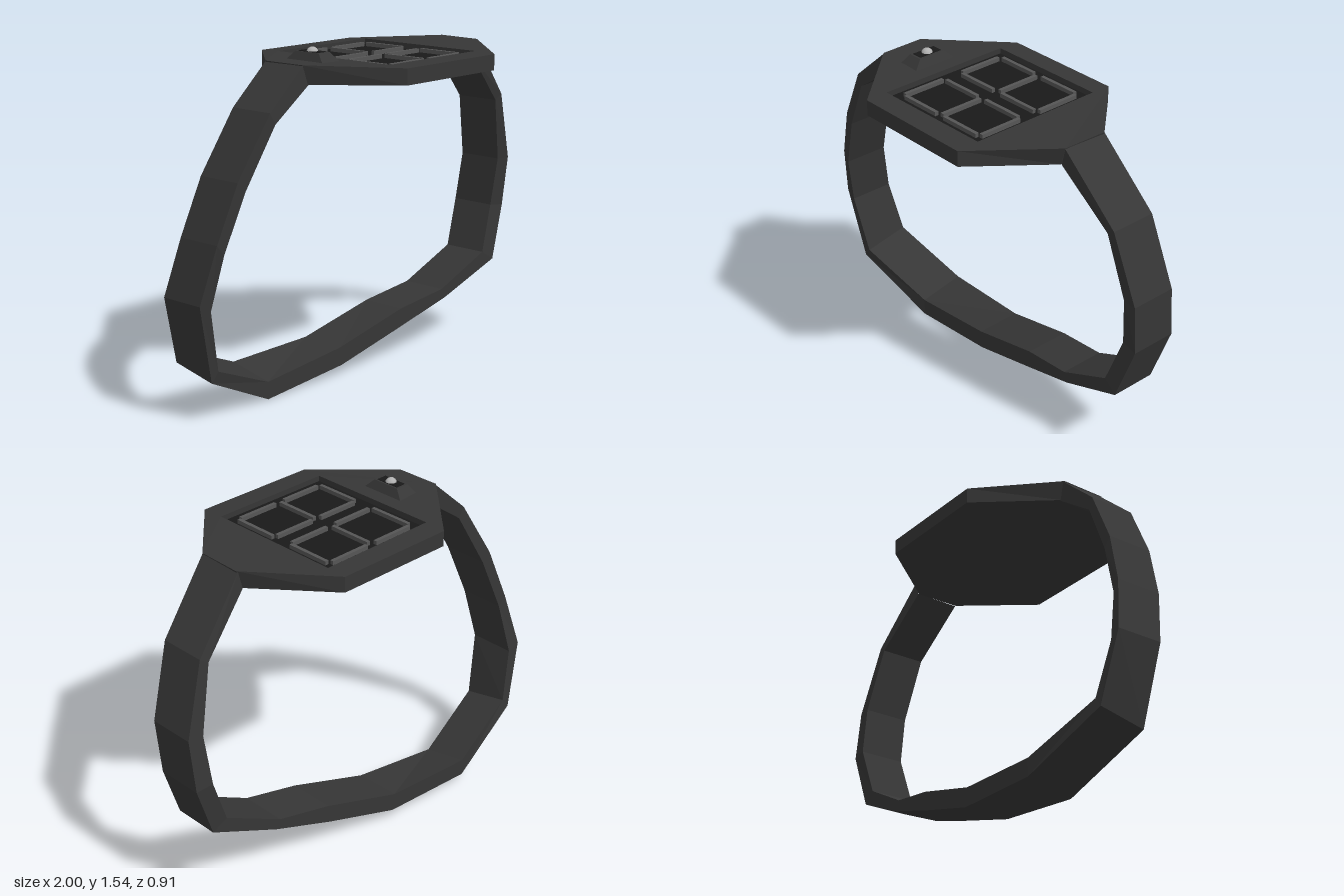
import * as THREE from 'three';

const mat = (color, flatShading = true) => new THREE.MeshStandardMaterial({ color, flatShading });
const body = mat(0x363636), dark = mat(0x191919), barMat = mat(0x555555), metal = mat(0xb0b0b0, false);

const TILT = 0.13; // the plate is turned slightly about y

function add(parent, name, geometry, material, x = 0, y = 0, z = 0) {
  const mesh = new THREE.Mesh(geometry, material);
  mesh.name = name;
  mesh.position.set(x, y, z);
  parent.add(mesh);
  return mesh;
}

// Strap stations on the near edge: outer x, y, inner x, y, near z, rise of the far edge
const STRAP = [
  [-0.48, 1.49, -0.45, 1.41, 0.17, 0],
  [-0.67, 1.32, -0.645, 1.27, 0.195, 0],
  [-0.825, 1.05, -0.785, 1.01, 0.175, 0],
  [-0.915, 0.80, -0.88, 0.755, 0.15, 0],
  [-0.975, 0.545, -0.92, 0.515, 0.105, 0],
  [-0.895, 0.19, -0.86, 0.235, 0.065, 0.045],
  [-0.52, 0.005, -0.52, 0.085, -0.04, 0.045],
  [-0.07, 0.055, -0.08, 0.14, -0.075, 0.005],
  [0.29, 0.16, 0.30, 0.25, -0.08, 0],
  [0.58, 0.25, 0.56, 0.295, -0.08, 0],
  [0.905, 0.385, 0.835, 0.43, -0.085, 0],
  [0.99, 0.64, 0.91, 0.65, -0.11, 0],
  [1.0, 0.88, 0.93, 0.88, -0.085, 0],
  [0.90, 1.205, 0.86, 1.18, -0.04, 0],
  [0.66, 1.49, 0.64, 1.41, 0.03, 0],
];

// Rectangular section swept through the stations
function strapGeometry() {
  const pos = [], index = [], W = 0.215, DX = -0.027;
  STRAP.forEach(([ox, oy, ix, iy, z, r], i) => {
    pos.push(ox, oy, z, ox + DX, oy + r, z - W, ix + DX, iy + r, z - W, ix, iy, z);
    if (i === 0) return;
    for (let k = 0; k < 4; k++) {
      const n = (k + 1) % 4, a = (i - 1) * 4, b = i * 4;
      index.push(a + k, a + n, b + k, a + n, b + n, b + k);
    }
  });
  const g = new THREE.BufferGeometry();
  g.setAttribute('position', new THREE.Float32BufferAttribute(pos, 3));
  g.setIndex(index);
  g.computeVertexNormals();
  return g;
}

// Eight-sided plate with a window; its top falls gently towards front and back
function plateGeometry(w, d) {
  const outline = [[-0.26, -0.39], [0.31, -0.46], [0.64, -0.18], [0.66, 0.03],
    [0.42, 0.38], [-0.155, 0.45], [-0.48, 0.17], [-0.51, -0.04]];
  const shape = new THREE.Shape(outline.map(([x, z]) => new THREE.Vector2(x, z)));
  const c = Math.cos(TILT), s = Math.sin(TILT);
  const corners = [[-1, -1], [-1, 1], [1, 1], [1, -1]].map(([a, b]) => {
    const u = a * w / 2, v = b * d / 2;
    return new THREE.Vector2(0.08 + u * c + v * s, -0.008 - u * s + v * c);
  });
  shape.holes.push(new THREE.Path(corners));
  const g = new THREE.ExtrudeGeometry(shape, { depth: 1, bevelEnabled: false });
  g.rotateX(Math.PI / 2);
  const p = g.attributes.position;
  for (let i = 0; i < p.count; i++) {
    const x = p.getX(i), z = p.getZ(i), v = Math.abs(x * s + z * c);
    if (p.getY(i) > -0.5) p.setY(i, 1.498 - 0.04 * v);
    else {
      p.setY(i, 1.41);
      if (x < -0.45 || x > 0.6) p.setX(i, x - Math.sign(x) * 0.025); // undercut ends
    }
  }
  g.computeVertexNormals();
  return g;
}

// Four-sided tapered block
function frustum(w, d, h, taper) {
  const g = new THREE.CylinderGeometry(Math.SQRT1_2 * taper, Math.SQRT1_2, h, 4);
  g.rotateY(Math.PI / 4);
  g.scale(w, 1, d);
  return g;
}

export function createModel() {
  const model = new THREE.Group();
  model.name = 'wristDevice';
  const W = 0.575, D = 0.645;

  add(model, 'strap', strapGeometry(), body);
  add(model, 'plate', plateGeometry(W, D), body);

  // Recessed display with a grid of raised bars
  const display = new THREE.Group();
  display.name = 'display';
  display.position.set(0.08, 0, -0.008);
  display.rotation.y = TILT;
  model.add(display);
  add(display, 'displayBacking', new THREE.BoxGeometry(W, 0.03, D), body, 0, 1.425, 0);
  add(display, 'displayPanel', new THREE.BoxGeometry(W, 0.02, D), dark, 0, 1.45, 0);
  for (const v of [-0.28, -0.045, 0.045, 0.27])
    for (const u of [-0.125, 0.125])
      add(display, 'crossBar', new THREE.BoxGeometry(0.2, 0.02, 0.017), barMat, u, 1.468, v);
  for (const u of [-0.24, 0, 0.24])
    for (const v of [-0.162, 0.158])
      add(display, 'uprightBar', new THREE.BoxGeometry(0.017, 0.02, 0.21), barMat, u, 1.468, v);

  // Raised mount with a dark pad and a ball button
  const button = new THREE.Group();
  button.name = 'button';
  button.position.set(-0.325, 0, 0.043);
  button.rotation.y = TILT;
  model.add(button);
  add(button, 'buttonMount', frustum(0.107, 0.215, 0.04, 0.62), body, 0, 1.505, 0);
  add(button, 'buttonPad', new THREE.BoxGeometry(0.05, 0.004, 0.115), dark, 0, 1.525, 0);
  add(button, 'buttonBall', new THREE.SphereGeometry(0.026, 20, 14), metal, 0, 1.519, 0);

  return model;
}
